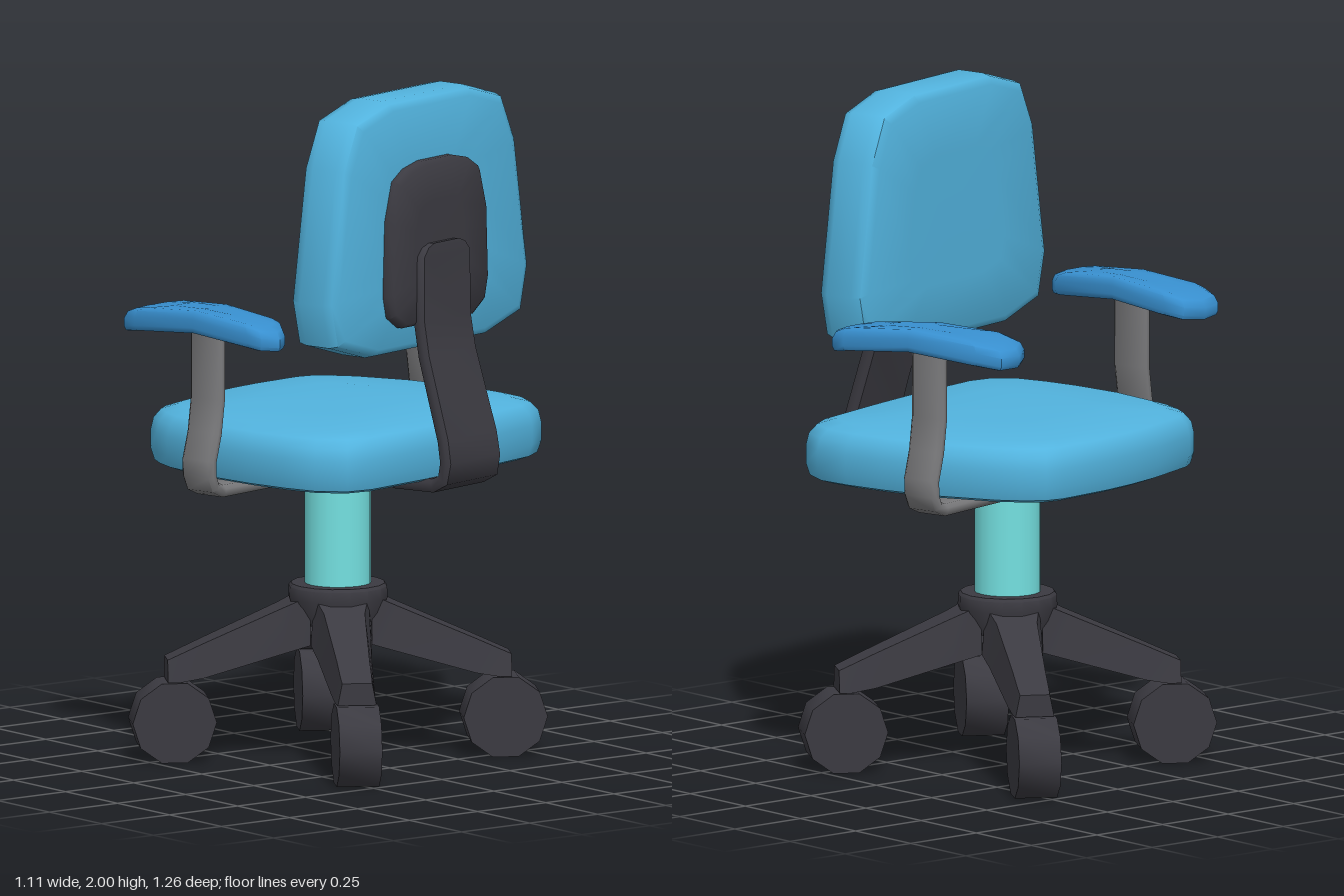
import * as THREE from 'three';
import { toCreasedNormals } from 'three/addons/utils/BufferGeometryUtils.js';

const material = (name, color, side = THREE.FrontSide) => {
  const m = new THREE.MeshStandardMaterial({ color, side });
  m.name = name;
  return m;
};

// Skin through equal-sized rings of [x, y, z], capped at the end and, unless open, at the start
function loft(rings, { crease = 0.9, open = false } = {}) {
  const n = rings[0].length;
  const pts = rings.flat();
  const index = [];
  for (let r = 0; r < rings.length - 1; r++) {
    for (let i = 0; i < n; i++) {
      const a = r * n + i, b = r * n + (i + 1) % n;
      index.push(a, b, b + n, a, b + n, a + n);
    }
  }
  const cap = (start, flip) => {
    const ring = pts.slice(start, start + n);
    const centre = pts.length;
    pts.push([0, 1, 2].map(k => ring.reduce((s, p) => s + p[k], 0) / n));
    for (let i = 0; i < n; i++) {
      const a = start + i, b = start + (i + 1) % n;
      index.push(centre, ...(flip ? [b, a] : [a, b]));
    }
  };
  const last = (rings.length - 1) * n;
  if (!open) cap(0, true);
  cap(last, false);

  // Turn the faces outward
  let volume = 0;
  const v = pts.map(p => new THREE.Vector3(...p));
  for (let i = 0; i < index.length; i += 3) {
    volume += v[index[i]].dot(v[index[i + 1]].clone().cross(v[index[i + 2]]));
  }
  if (volume < 0) index.reverse();

  const g = new THREE.BufferGeometry();
  g.setAttribute('position', new THREE.Float32BufferAttribute(pts.flat(), 3));
  g.setIndex(index);
  return toCreasedNormals(g, crease);
}

// Full outline from one half: points [along, across], mirrored in the across direction
const mirrorOutline = half => [
  ...half,
  ...half.filter(p => p[1] !== 0).reverse().map(([a, b]) => [a, -b]),
];

// Padded shape: outline scaled about a centre for each [scale, height] step
const cushion = (outline, [cu, cv], steps, place, open = false) => loft(steps.map(([s, h]) =>
  outline.map(([u, v]) => place(cu + (u - cu) * s, cv + (v - cv) * s, h))), { open });

// Flat bar with bevelled edges following a path of [u, y, halfWidth]
function bar(path, thickness, bevel, place) {
  const section = [
    [1, 0.2], [1 - bevel, 0.5], [bevel - 1, 0.5], [-1, 0.2],
    [-1, -0.2], [bevel - 1, -0.5], [1 - bevel, -0.5], [1, -0.2],
  ];
  return loft(path.map(([u, y, w], i) => {
    const a = path[Math.max(i - 1, 0)], b = path[Math.min(i + 1, path.length - 1)];
    const len = Math.hypot(b[0] - a[0], b[1] - a[1]);
    const nu = (a[1] - b[1]) / len * thickness, ny = (b[0] - a[0]) / len * thickness;
    return section.map(([sw, st]) => place(u + nu * st, y + ny * st, w * sw));
  }));
}

export function createModel() {
  const fabric = material('seat blue', 0x52b3de, THREE.DoubleSide);
  const armBlue = material('armrest blue', 0x3890d0, THREE.DoubleSide);
  const dark = material('dark plastic', 0x3b3a41, THREE.DoubleSide);
  const grey = material('grey metal', 0x7a7a7c);
  const teal = material('teal column', 0x74e0e0);

  const model = new THREE.Group();
  model.name = 'officeChair';
  const add = (parent, name, geometry, mat) => {
    const mesh = new THREE.Mesh(geometry, mat);
    mesh.name = name;
    parent.add(mesh);
    return mesh;
  };

  // Gas column
  add(model, 'column', new THREE.CylinderGeometry(0.097, 0.097, 0.49, 20), teal).position.y = 0.675;

  // Base: hollow hub with four tapering legs on castors
  const base = new THREE.Group();
  base.name = 'base';
  model.add(base);
  const hubProfile = [[0.12, 0.4], [0.146, 0.475], [0.145, 0.508], [0.138, 0.517], [0.09, 0.517]]
    .map(p => new THREE.Vector2(...p));
  add(base, 'hub', toCreasedNormals(new THREE.LatheGeometry(hubProfile, 16), 0.7), dark);

  const section = ([r, top, bottom, wTop, wBottom]) => [
    [r, top, wTop], [r, top, -wTop], [r, bottom, -wBottom], [r, bottom, wBottom],
  ];
  const legGeometry = loft([
    [0.09, 0.49, 0.345, 0.08, 0.09],
    [0.17, 0.452, 0.32, 0.06, 0.08],
    [0.40, 0.35, 0.25, 0.048, 0.064],
    [0.47, 0.318, 0.237, 0.046, 0.06],
    [0.505, 0.302, 0.237, 0.044, 0.057],
  ].map(section), { crease: 0.5 });
  const wheelGeometry = toCreasedNormals(
    new THREE.CylinderGeometry(0.1235, 0.1235, 0.125, 10).rotateY(Math.PI / 10).rotateX(Math.PI / 2), 0.7);
  for (let i = 0; i < 4; i++) {
    const leg = new THREE.Group();
    leg.name = 'leg' + (i + 1);
    leg.rotation.y = -(0.54 + i * Math.PI / 2);
    add(leg, 'legArm', legGeometry, dark);
    add(leg, 'castorWheel', wheelGeometry, dark).position.set(0.486, 0.1175, 0);
    base.add(leg);
  }

  // Swivelled upper part, facing -x in its own frame
  const upper = new THREE.Group();
  upper.name = 'upperChair';
  upper.rotation.y = 0.24;
  model.add(upper);

  // Seat: a padded shell, open underneath
  const seatOutline = mirrorOutline([
    [-0.462, 0], [-0.457, 0.12], [-0.432, 0.31], [-0.408, 0.365], [-0.35, 0.41], [-0.28, 0.447],
    [-0.1, 0.497], [0.08, 0.516], [0.21, 0.516], [0.32, 0.503], [0.40, 0.45], [0.43, 0.37],
    [0.44, 0.14], [0.442, 0],
  ]);
  add(upper, 'seat', cushion(seatOutline, [0, 0], [
    [0.92, 0.874], [0.98, 0.885], [1, 0.92], [1, 0.975], [0.985, 1.01], [0.945, 1.035], [0.85, 1.05], [0.45, 1.063],
  ], (u, v, h) => [u, h, v], true), fabric);

  // Backrest
  const backOutline = mirrorOutline([
    [2.0, 0.19], [1.955, 0.34], [1.82, 0.402], [1.43, 0.463], [1.30, 0.432], [1.25, 0.265],
  ]);
  add(upper, 'backrest', cushion(backOutline, [1.6, 0], [
    [0.5, 0.187], [0.93, 0.188], [0.985, 0.2], [1, 0.23], [1, 0.315], [0.98, 0.342], [0.93, 0.353], [0.5, 0.354],
  ], (u, v, h) => [h, u, v]), fabric);

  // Plate behind the backrest
  const plateOutline = mirrorOutline([
    [1.813, 0.07], [1.797, 0.14], [1.765, 0.19], [1.65, 0.222], [1.43, 0.23], [1.365, 0.215], [1.33, 0.165],
  ]);
  add(upper, 'backPlate', cushion(plateOutline, [1.57, 0], [
    [1, 0.345], [1, 0.372], [0.95, 0.386], [0.5, 0.388],
  ], (u, v, h) => [h, u, v]), dark);

  // Bent bar carrying the backrest
  add(upper, 'backSupport', bar([
    [0.388, 1.57, 0.06], [0.389, 1.56, 0.09], [0.39, 1.535, 0.112], [0.392, 1.34, 0.114], [0.41, 1.24, 0.115],
    [0.485, 1.0, 0.12], [0.496, 0.935, 0.122], [0.487, 0.885, 0.124], [0.45, 0.866, 0.124], [0.30, 0.863, 0.124],
  ], 0.04, 0.06, (u, y, w) => [u, y, w]), dark);

  // Armrests, open underneath, and their brackets on both sides
  const armOutline = [
    [-0.38, 0.46], [-0.35, 0.395], [-0.29, 0.38], [-0.07, 0.42], [0.165, 0.462], [0.209, 0.505],
    [0.226, 0.55], [0.195, 0.60], [0.15, 0.608], [-0.07, 0.59], [-0.304, 0.57], [-0.37, 0.535],
  ];
  const bracketPath = [
    [0.5, 1.36], [0.5, 1.12], [0.515, 1.02], [0.539, 0.94], [0.538, 0.895],
    [0.523, 0.862], [0.488, 0.847], [0.15, 0.845],
  ].map(p => [...p, 0.058]);
  for (const [side, name] of [[1, 'left'], [-1, 'right']]) {
    add(upper, name + 'Armrest', cushion(armOutline, [-0.07, 0.5], [
      [0.93, -0.066], [0.98, -0.062], [1, -0.05], [1, -0.025], [0.96, -0.007], [0.85, 0], [0.4, 0],
    ], (u, v, h) => [u, 1.39 + h - 0.38 * (u + 0.07) ** 2, v * side], true), armBlue);
    add(upper, name + 'ArmBracket',
      bar(bracketPath, 0.036, 0.2, (u, y, w) => [-0.084 + w, y, u * side]), grey);
  }

  return model;
}
